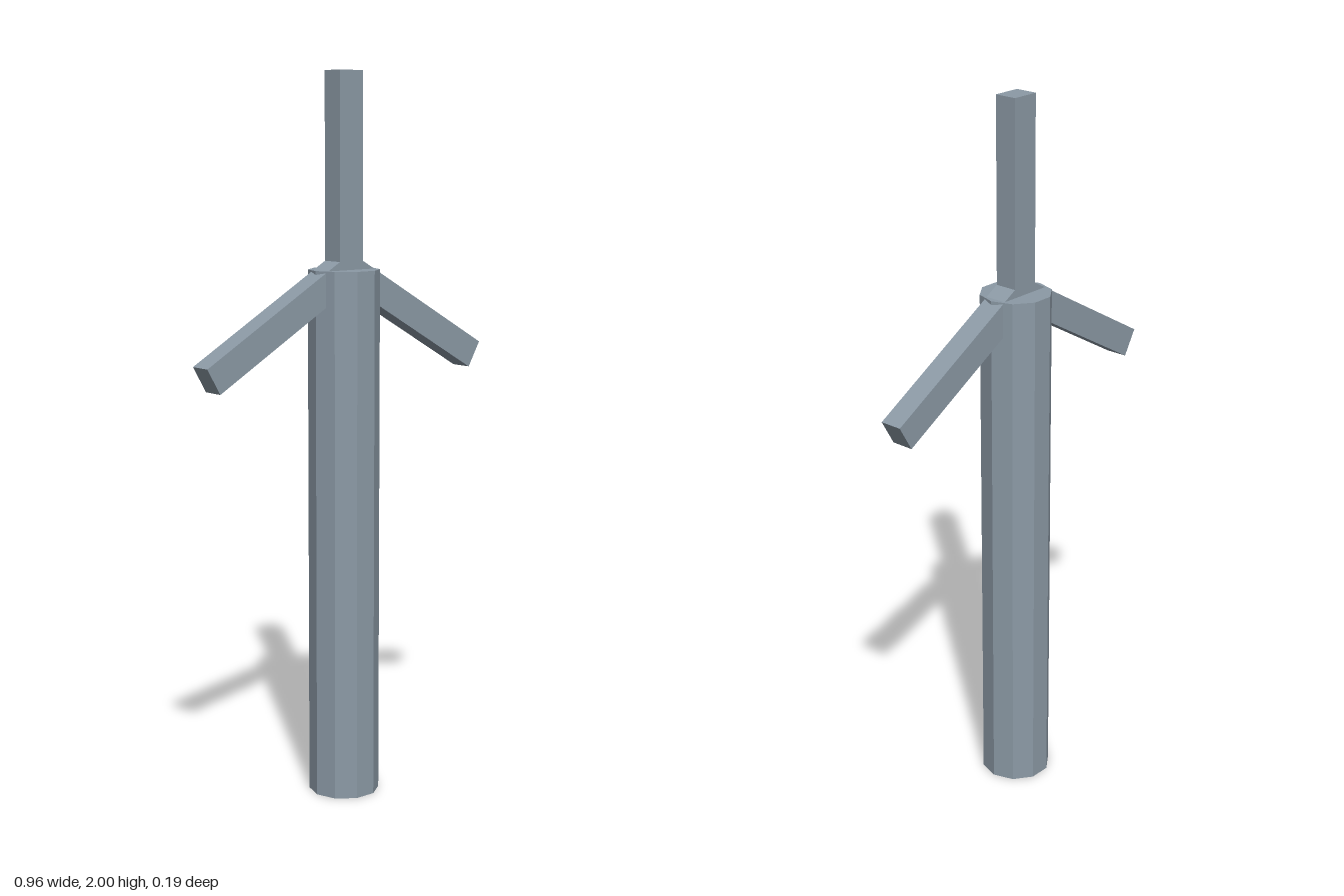
import * as THREE from 'three';

const HUB_Y = 1.471;
const BLADE_LENGTH = 0.529;

export function createModel() {
  const model = new THREE.Group();
  model.name = 'windTurbine';

  const steel = new THREE.MeshStandardMaterial({ color: 0x8c9aa6, flatShading: true });
  steel.name = 'blue grey steel';

  // Ten-sided tower with corners on the x axis
  const towerGeometry = new THREE.CylinderGeometry(0.098, 0.098, HUB_Y, 10);
  towerGeometry.rotateY(Math.PI / 2).translate(0, HUB_Y / 2, 0);
  const tower = new THREE.Mesh(towerGeometry, steel);
  tower.name = 'tower';
  model.add(tower);

  // Three square-ended blades radiating from the tower top
  const bladeGeometry = new THREE.BoxGeometry(0.08, BLADE_LENGTH, 0.064);
  bladeGeometry.translate(0, BLADE_LENGTH / 2, 0);
  const rotor = new THREE.Group();
  rotor.name = 'rotor';
  rotor.position.y = HUB_Y;
  ['topBlade', 'rightBlade', 'leftBlade'].forEach((name, i) => {
    const blade = new THREE.Mesh(bladeGeometry, steel);
    blade.name = name;
    blade.rotation.z = (i * Math.PI * 2) / 3;
    rotor.add(blade);
  });
  model.add(rotor);

  return model;
}
